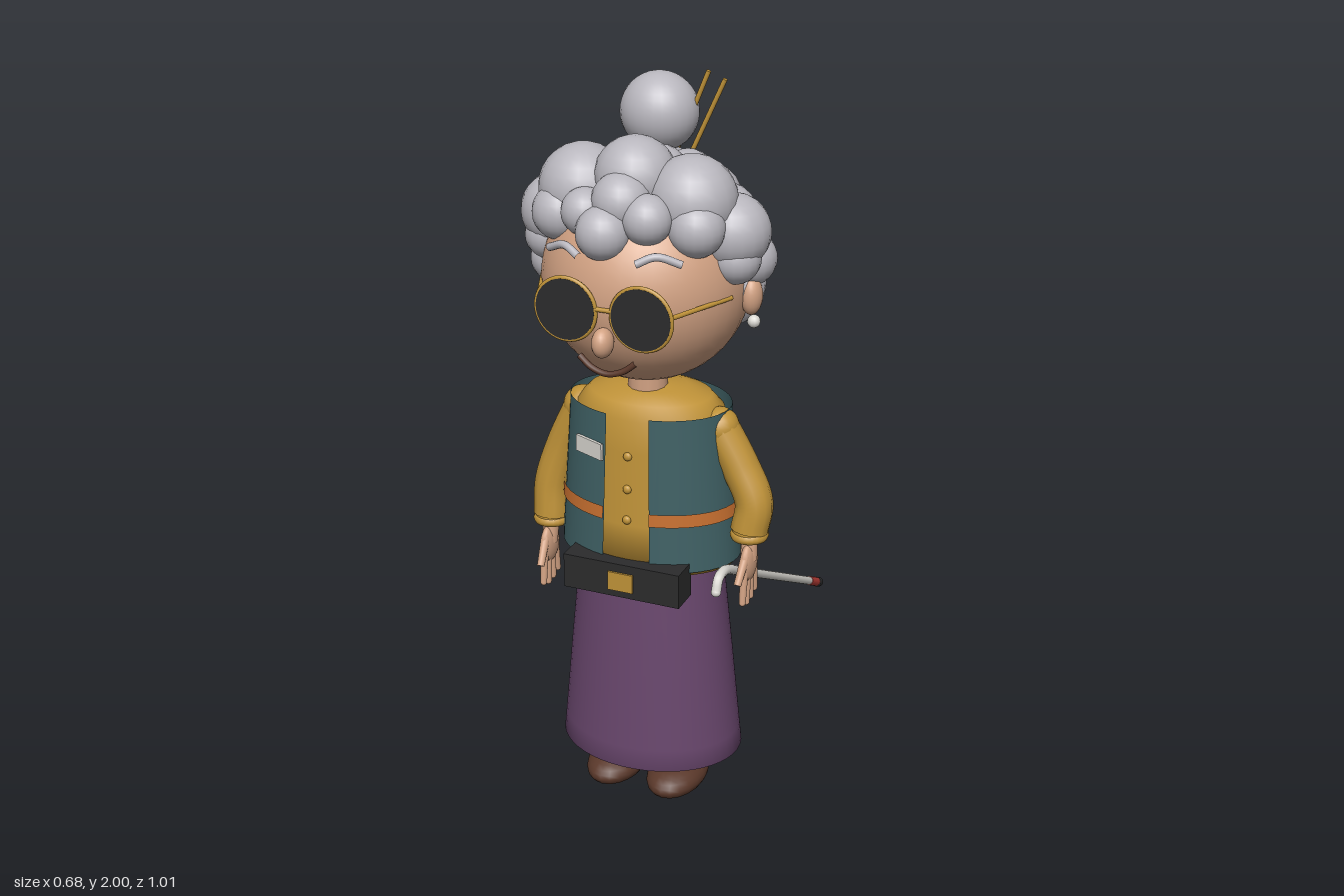
import * as THREE from 'three';

const mat = (name, color) => Object.assign(new THREE.MeshStandardMaterial({ color }), { name });
const M = {
  skin: mat('skin', 0xd2a283), hair: mat('silver hair', 0xb9b7be), gold: mat('mustard', 0xbf9238),
  teal: mat('teal cloth', 0x3f6064), purple: mat('purple cloth', 0x68466c), orange: mat('orange trim', 0xc87030),
  black: mat('black', 0x2b2b2c), brown: mat('brown leather', 0x5a382a), white: mat('off white', 0xdad8d2),
  red: mat('red', 0xb63c36),
};
for (const k of ['teal', 'orange', 'gold', 'purple']) M[k].side = THREE.DoubleSide;

const CX = -0.01; // body centre line
const V = (x, y, z) => new THREE.Vector3(x, y, z);

export function createModel() {
  const root = new THREE.Group();
  root.name = 'grandmother';

  const add = (name, geo, m, x = 0, y = 0, z = 0) => {
    const mesh = new THREE.Mesh(geo, m);
    mesh.name = name;
    mesh.position.set(x, y, z);
    root.add(mesh);
    return mesh;
  };
  const ball = (name, m, x, y, z, rx, ry = rx, rz = rx, seg = 20) => {
    const s = add(name, new THREE.SphereGeometry(1, seg, Math.round(seg * 0.7)), m, x, y, z);
    s.scale.set(rx, ry, rz);
    return s;
  };
  const box = (name, m, x, y, z, w, h, d) => add(name, new THREE.BoxGeometry(w, h, d), m, x, y, z);
  const rod = (name, m, a, b, r, r2 = r) => {
    const d = b.clone().sub(a);
    const c = add(name, new THREE.CylinderGeometry(r2, r, d.length(), 14), m);
    c.position.copy(a).addScaledVector(d, 0.5);
    c.quaternion.setFromUnitVectors(V(0, 1, 0), d.normalize());
    return c;
  };
  const tube = (name, m, pts, r, n = 24) =>
    add(name, new THREE.TubeGeometry(new THREE.CatmullRomCurve3(pts), n, r, 12), m);
  // Oval band around the torso
  const band = (name, m, rTop, rBot, yTop, yBot, start, len) => {
    const g = new THREE.CylinderGeometry(rTop, rBot, yTop - yBot, 40, 1, true, start, len);
    const b = add(name, g, m, CX, (yTop + yBot) / 2, 0.18);
    b.scale.z = 0.72;
    return b;
  };

  // Legs, shoes and skirt
  for (const s of [-1, 1]) {
    rod('leg', M.skin, V(CX + s * 0.088, 0.06, 0.185), V(CX + s * 0.088, 0.3, 0.185), 0.028);
    ball('shoe', M.brown, CX + s * 0.09, 0.05, 0.217, 0.079, 0.047, 0.124);
  }
  const skirt = add('skirt', new THREE.LatheGeometry([
    [0.001, 0.16], [0.235, 0.155], [0.253, 0.14], [0.247, 0.2], [0.226, 0.42], [0.198, 0.7], [0.19, 0.76],
  ].map(p => new THREE.Vector2(...p)), 48), M.purple, CX, 0, 0.183);
  skirt.scale.z = 0.79;

  // Shirt with placket and buttons
  const shirt = add('shirt', new THREE.LatheGeometry([
    [0.001, 0.722], [0.238, 0.72], [0.225, 0.85], [0.21, 1.05], [0.198, 1.135], [0.165, 1.17], [0.1, 1.19], [0.001, 1.2],
  ].map(p => new THREE.Vector2(...p)), 48), M.gold, CX, 0, 0.18);
  shirt.scale.z = 0.72;
  [1.04, 0.95, 0.865].forEach(y =>
    ball('button', M.gold, CX, y, 0.18 + 0.72 * (0.21 + (1.05 - y) * 0.08), 0.012, 0.012, 0.009, 12));

  // Open vest with trim
  const gap = 0.27, wrap = Math.PI * 2 - gap * 2;
  band('vest', M.teal, 0.218, 0.247, 1.15, 0.73, gap, wrap);
  band('vestStripe', M.orange, 0.241, 0.244, 0.895, 0.86, gap, wrap);
  band('backPanel', M.orange, 0.231, 0.241, 1.035, 0.895, Math.PI - 0.6, 1.2);
  const tri = new THREE.Shape([[-0.035, -0.03], [0.035, -0.03], [0, 0.04]].map(p => new THREE.Vector2(...p)));
  add('backTriangle', new THREE.ExtrudeGeometry(tri, { depth: 0.006, bevelEnabled: false }),
    M.teal, CX, 0.95, 0.003);
  const tag = box('nameTag', M.white, -0.12, 1.045, 0.325, 0.095, 0.045, 0.008);
  tag.rotation.y = -0.4;

  // Waist pack
  box('waistPack', M.black, CX, 0.708, 0.342, 0.325, 0.095, 0.085);
  box('buckle', M.gold, CX, 0.706, 0.386, 0.07, 0.052, 0.008);

  // Arms: sleeve path, cuff and hand
  const arm = (s, pts) => {
    const end = pts[pts.length - 1];
    ball('shoulder', M.gold, pts[0].x, pts[0].y, pts[0].z, 0.052);
    tube('sleeve', M.gold, pts, 0.05);
    add('cuff', new THREE.CylinderGeometry(0.044, 0.046, 0.03, 20), M.gold, end.x, end.y, end.z);
    const rim = add('cuffRim', new THREE.TorusGeometry(0.037, 0.014, 8, 24), M.gold, end.x, end.y - 0.012, end.z);
    rim.rotation.x = Math.PI / 2;
    const hx = end.x + s * 0.004, hz = end.z + 0.012;
    rod('wrist', M.skin, V(hx, end.y - 0.08, hz), end, 0.022);
    ball('palm', M.skin, hx, end.y - 0.085, hz, 0.019, 0.055, 0.045);
    for (let i = 0; i < 4; i++) {
      const z = (i - 1.5) * 0.024, tip = end.y - 0.2 + Math.abs(i - 1.7) * 0.01;
      rod('finger', M.skin, V(hx, end.y - 0.1, hz + z * 0.9), V(hx, tip, hz + z * 1.2), 0.011, 0.009);
      ball('fingertip', M.skin, hx, tip, hz + z * 1.2, 0.009, 0.009, 0.009, 10);
    }
    rod('thumb', M.skin, V(hx, end.y - 0.06, hz + 0.025), V(hx - s * 0.005, end.y - 0.125, hz + 0.068), 0.012, 0.01);
  };
  arm(1, [V(0.185, 1.1, 0.19), V(0.245, 1.0, 0.195), V(0.288, 0.91, 0.205), V(0.28, 0.835, 0.215)]);
  arm(-1, [V(-0.2, 1.1, 0.19), V(-0.255, 0.98, 0.19), V(-0.288, 0.87, 0.2), V(-0.29, 0.775, 0.21)]);

  // Cane with hooked handle
  const at = z => V(0.243 + z * 0.01, 0.592 + z * 0.544, z);
  tube('caneHandle', M.white, [at(0.2), at(0.27), V(0.247, 0.755, 0.315), V(0.248, 0.75, 0.35), V(0.248, 0.72, 0.365)], 0.013);
  ball('caneHandleEnd', M.white, 0.248, 0.72, 0.365, 0.013);
  rod('caneShaft', M.white, at(-0.4), at(0.22), 0.012);
  rod('caneBand', M.red, at(-0.47), at(-0.4), 0.0135);
  rod('caneTip', M.black, at(-0.495), at(-0.47), 0.0145);

  // Head and face
  rod('neck', M.skin, V(CX, 1.16, 0.2), V(CX, 1.28, 0.2), 0.052);
  ball('head', M.skin, CX, 1.488, 0.2, 0.266, 0.266, 0.264, 40);
  ball('nose', M.skin, CX, 1.4, 0.47, 0.027, 0.038, 0.034);
  tube('mouth', M.brown, [-1, -0.55, 0, 0.55, 1].map(t =>
    V(CX + t * 0.075, 1.312 + t * t * 0.036, 0.45 - t * t * 0.006)), 0.008);
  for (const s of [-1, 1]) {
    tube('eyebrow', M.hair, [V(CX + s * 0.075, 1.6, 0.44), V(CX + s * 0.12, 1.618, 0.42),
      V(CX + s * 0.175, 1.597, 0.392)], 0.01, 12);
    ball('ear', M.skin, CX + s * 0.275, 1.465, 0.185, 0.028, 0.05, 0.033);
    ball('earring', M.white, CX + s * 0.284, 1.4, 0.19, 0.017, 0.017, 0.017, 12);
    // Spectacles
    const lens = add('lens', new THREE.CylinderGeometry(0.078, 0.078, 0.008, 36), M.black, CX + s * 0.1, 1.472, 0.466);
    lens.rotation.x = Math.PI / 2;
    add('lensRim', new THREE.TorusGeometry(0.079, 0.006, 8, 40), M.gold, CX + s * 0.1, 1.472, 0.464);
    rod('temple', M.gold, V(CX + s * 0.175, 1.485, 0.462), V(CX + s * 0.255, 1.485, 0.27), 0.006);
  }
  rod('bridge', M.gold, V(CX - 0.025, 1.482, 0.464), V(CX + 0.025, 1.482, 0.464), 0.006);

  // Small curls spread evenly over the back of the head
  const N = 112, R = 0.222;
  for (let i = 0; i < N; i++) {
    const y = 1 - (2 * i + 1) / N, q = Math.sqrt(1 - y * y), a = i * Math.PI * (3 - Math.sqrt(5));
    const x = q * Math.cos(a), z = q * Math.sin(a);
    if (y < -0.75 || z > -0.04 + 0.5 * Math.max(0, y)) continue;
    ball('backCurl', M.hair, CX + x * (R + 0.012), 1.53 + y * R, 0.19 + z * R, 0.074, 0.074, 0.074, 14);
  }
  // Large curls along the hairline: x, y, z, radius
  [
    [0, 1.76, 0.265, 0.103], [-0.025, 1.655, 0.405, 0.068], [-0.09, 1.69, 0.365, 0.06], [0.075, 1.69, 0.37, 0.063],
    [0, 1.72, 0.35, 0.075],
  ].forEach(([x, y, z, r]) => ball('frontCurl', M.hair, CX + x, y, z, r));
  for (const s of [-1, 1]) {
    [[0.145, 1.715, 0.255, 0.113], [0.235, 1.635, 0.215, 0.096], [0.18, 1.665, 0.315, 0.072],
      [0.25, 1.575, 0.235, 0.065], [0.255, 1.55, 0.15, 0.07]]
      .forEach(([x, y, z, r]) => ball('sideCurl', M.hair, CX + s * x, y, z, r));
  }
  ball('sideCurl', M.hair, -0.263, 1.5, 0.19, 0.07);
  ball('sideCurl', M.hair, -0.255, 1.44, 0.17, 0.066);

  // Bun and hair sticks
  ball('bun', M.hair, CX, 1.887, 0.115, 0.1, 0.1, 0.095, 28);
  rod('hairStick', M.gold, V(0.02, 1.76, 0.108), V(0.117, 1.997, 0.108), 0.006);
  rod('hairStick', M.gold, V(0.05, 1.74, 0.108), V(0.16, 1.98, 0.108), 0.006);

  return root;
}
